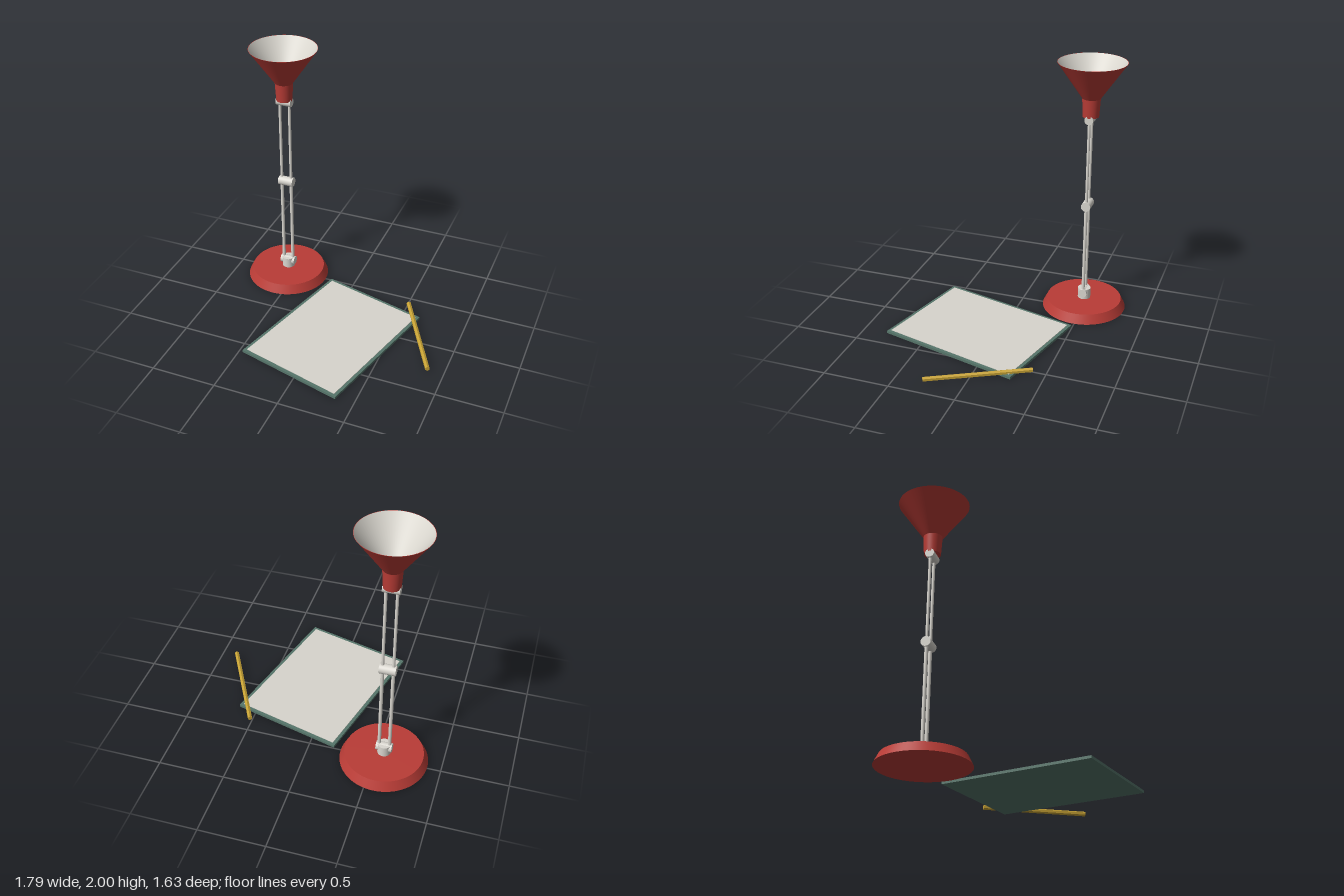
import * as THREE from 'three';

const material = (name, color, options = {}) => {
  const m = new THREE.MeshStandardMaterial({ color, ...options });
  m.name = name;
  return m;
};

export function createModel() {
  const red = material('red enamel', 0xb93c36);
  const metal = material('pale metal', 0xdad7d0);
  const liner = material('shade lining', 0xdad7cf, { side: THREE.DoubleSide });
  const paper = material('paper', 0xd8d5cd);
  const green = material('green board', 0x56756a);
  const yellow = material('pencil yellow', 0xc8a335, { flatShading: true });

  const model = new THREE.Group();
  model.name = 'deskLampSet';
  const add = (parent, name, geometry, mat, x = 0, y = 0, z = 0) => {
    const mesh = new THREE.Mesh(geometry, mat);
    mesh.name = name;
    mesh.position.set(x, y, z);
    parent.add(mesh);
    return mesh;
  };

  // Lamp
  const lamp = new THREE.Group();
  lamp.name = 'lamp';
  lamp.position.set(-0.57, 0, -0.49);
  model.add(lamp);

  add(lamp, 'base', new THREE.CylinderGeometry(0.293, 0.328, 0.07, 64), red, 0, 0.035);
  add(lamp, 'baseSocket', new THREE.CylinderGeometry(0.05, 0.05, 0.085, 32), metal, 0, 0.11);

  // Crosswise hinge pins
  const joints = [['lowerJoint', 0.124, 0.034], ['elbowJoint', 0.875, 0.037], ['upperJoint', 1.57, 0.034]];
  for (const [name, y, r] of joints) {
    const pin = add(lamp, name, new THREE.CylinderGeometry(r, r, 0.12, 32), metal, 0, y);
    pin.rotation.z = Math.PI / 2;
  }

  // Paired rods of both arm sections
  for (const side of [-1, 1]) {
    add(lamp, 'lowerRod', new THREE.CylinderGeometry(0.013, 0.013, 0.75, 16), metal, side * 0.039, 0.5);
    add(lamp, 'upperRod', new THREE.CylinderGeometry(0.011, 0.011, 0.695, 16), metal, side * 0.039, 1.2225);
  }

  // Upturned shade with pale lining and bulb
  add(lamp, 'shadeNeck', new THREE.CylinderGeometry(0.069, 0.061, 0.142, 48), red, 0, 1.656);
  add(lamp, 'shade', new THREE.CylinderGeometry(0.258, 0.069, 0.273, 64, 1, true), red, 0, 1.8635);
  add(lamp, 'shadeLining', new THREE.CylinderGeometry(0.255, 0.066, 0.273, 64, 1, true), liner, 0, 1.8635);
  const rim = add(lamp, 'shadeRim', new THREE.RingGeometry(0.255, 0.258, 64), red, 0, 2);
  rim.rotation.x = -Math.PI / 2;
  add(lamp, 'bulb', new THREE.SphereGeometry(0.062, 32, 20), metal, 0, 1.74);

  // Notepad on its board
  const pad = new THREE.Group();
  pad.name = 'notepad';
  pad.position.set(0.086, 0, 0.158);
  pad.rotation.y = -0.255;
  model.add(pad);
  add(pad, 'board', new THREE.BoxGeometry(0.858, 0.019, 1.124), green, 0, 0.0095);
  add(pad, 'sheet', new THREE.BoxGeometry(0.81, 0.004, 1.076), paper, 0, 0.021);

  // Six-sided pencil, lying with an edge uppermost
  const pencil = add(model, 'pencil',
    new THREE.CylinderGeometry(0.018, 0.018, 0.785, 6).rotateX(Math.PI / 2), yellow, 0.695, 0.027, -0.057);
  pencil.rotation.y = Math.atan2(0.367, 0.691);

  return model;
}
